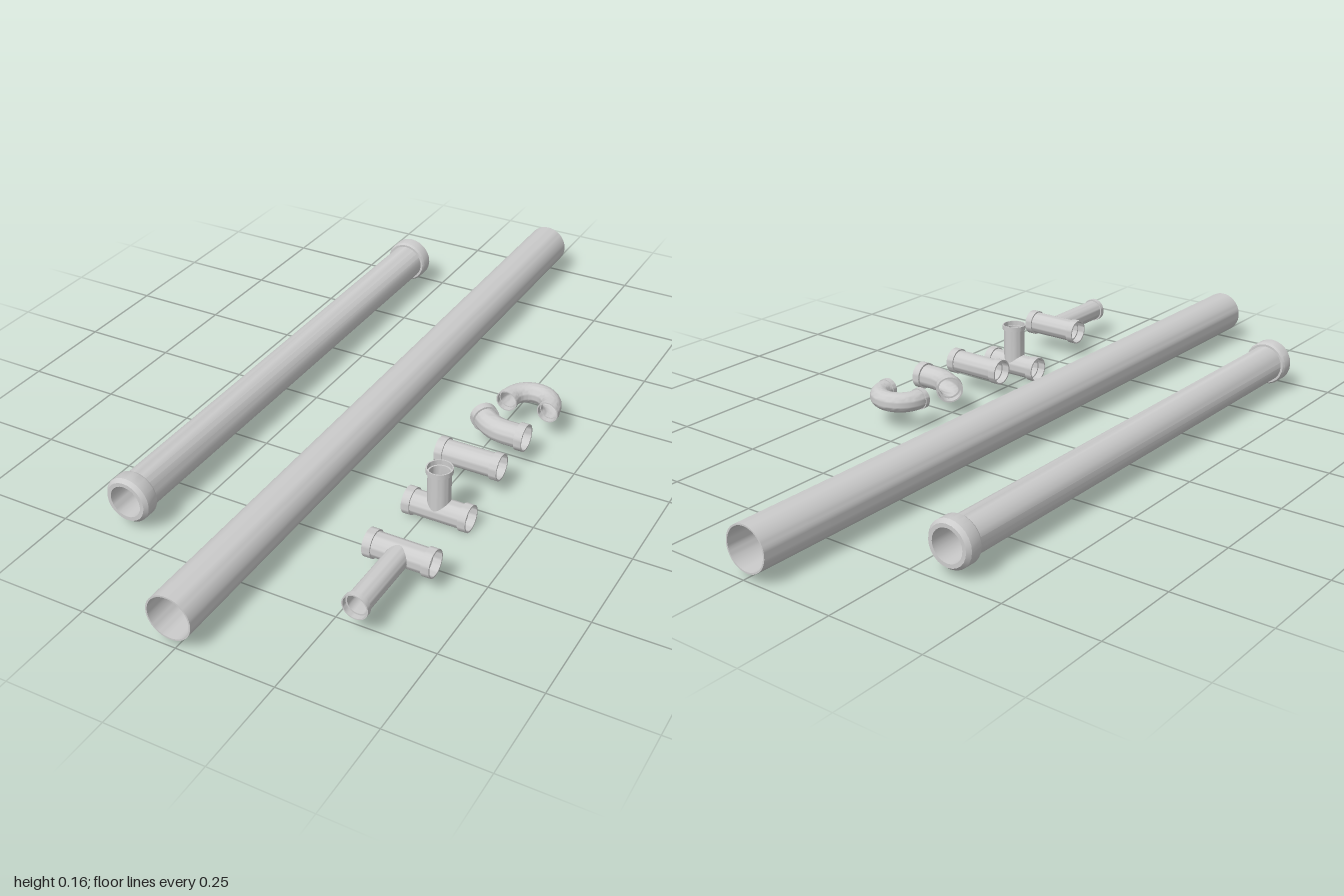
import * as THREE from 'three';
import { toCreasedNormals } from 'three/addons/utils/BufferGeometryUtils.js';

const material = new THREE.MeshStandardMaterial({ color: 0xcccccc, side: THREE.DoubleSide });
const AXIS_Y = 0.078; // height of most pipe axes

// 2D path on the floor plan, points are (x, z)
function line(...points) {
  return new THREE.Path(points.map(p => new THREE.Vector2(...p)));
}

// Closed wall section: outer and inner radii with optional collars at each end
function wall({ length, r, collar = r, start = 0, end = 0, thick = 0.004, steps = 1 }) {
  const outer = [];
  if (start) outer.push([collar, 0], [collar, start]);
  for (let i = 0; i <= steps; i++) outer.push([r, start + (length - start - end) * i / steps]);
  if (end) outer.push([collar, length - end], [collar, length]);
  const inner = outer.map(([q, t]) => [q - thick, t]).reverse();
  return [...outer, ...inner, outer[0]];
}

// Lathe a wall section, then lay it along a floor-plan path.
// saddle > 0 shapes the starting end to sit on a crossing pipe of that radius.
function pipe(name, path, section, { y = AXIS_Y, saddle = 0, sides = 32 } = {}) {
  const length = path.getLength();
  const geo = new THREE.LatheGeometry(section.map(p => new THREE.Vector2(...p)), sides);
  const pos = geo.attributes.position;
  for (let i = 0; i < pos.count; i++) {
    const side = pos.getX(i), up = pos.getZ(i);
    let t = pos.getY(i);
    if (saddle && t < 1e-6) t = Math.sqrt(Math.max(0, saddle * saddle - up * up));
    const u = Math.min(1, Math.max(0, t / length));
    const p = path.getPoint(u), d = path.getTangent(u);
    pos.setXYZ(i, p.x - d.y * side, up, p.y + d.x * side);
  }
  const mesh = new THREE.Mesh(toCreasedNormals(geo, 0.6), material);
  mesh.name = name;
  mesh.position.y = y;
  return mesh;
}

// Fitting pipe with a collar at both ends
function collared(name, path, options, placement) {
  const length = path.getLength();
  return pipe(name, path, wall({ length, r: 0.031, collar: 0.035, start: 0.021, end: 0.021, ...options }), placement);
}

// Tee: straight run along x plus a branch towards +z, or upwards
function tee(name, x, y, z, reach, upright) {
  const group = new THREE.Group();
  group.name = name;
  const run = collared('teeRun', line([-0.085, 0], [0.085, 0]), {}, { y: 0 });
  const branch = pipe('teeBranch', line([0, 0], [0, reach]),
    wall({ length: reach, r: 0.029, collar: 0.033, end: 0.013, thick: 0.003 }),
    { y: 0, saddle: 0.031 });
  if (upright) branch.rotation.x = -Math.PI / 2;
  group.add(run, branch);
  group.position.set(x, y, z);
  return group;
}

export function createModel() {
  const model = new THREE.Group();
  model.name = 'pipeSet';

  // Long plain pipe
  model.add(pipe('longPipe', line([-0.0125, -1], [-0.0125, 1]),
    wall({ length: 2, r: 0.058, thick: 0.004 }), { sides: 48 }));

  // Shorter pipe with thick, bevelled end collars
  const L = 1.444;
  const half = [[0.042, 0], [0.052, 0], [0.06, 0.01], [0.06, 0.042], [0.056, 0.048], [0.05, 0.048]];
  const mirrored = half.map(([r, t]) => [r, L - t]).reverse();
  model.add(pipe('collaredPipe', line([-0.343, -0.734], [-0.343, -0.734 + L]),
    [...half, ...mirrored, half[0]], { sides: 24 }));

  // U bend
  const bx = 0.315, bz = -0.13, br = 0.0575;
  const bend = line([bx - br, -0.115], [bx - br, bz]);
  bend.absarc(bx, bz, br, Math.PI, 2 * Math.PI, false);
  bend.lineTo(bx + br, -0.115);
  model.add(collared('uBend', bend,
    { r: 0.0265, collar: 0.029, start: 0.014, end: 0.014, thick: 0.003, steps: 28 }));

  // 45 degree elbow
  const elbow = line([0.374, 0.018], [0.325, 0.018]);
  elbow.quadraticCurveTo(0.279, 0.018, 0.25, -0.011);
  elbow.lineTo(0.233, -0.028);
  model.add(collared('elbow', elbow, { collar: 0.036, steps: 16 }));

  // Straight coupler
  model.add(collared('coupler', line([0.205, 0.163], [0.374, 0.163])));

  // Upright tee and flat tee
  model.add(tee('uprightTee', 0.29, 0.035, 0.332, 0.12, true));
  model.add(tee('flatTee', 0.317, AXIS_Y, 0.569, 0.213, false));

  return model;
}
